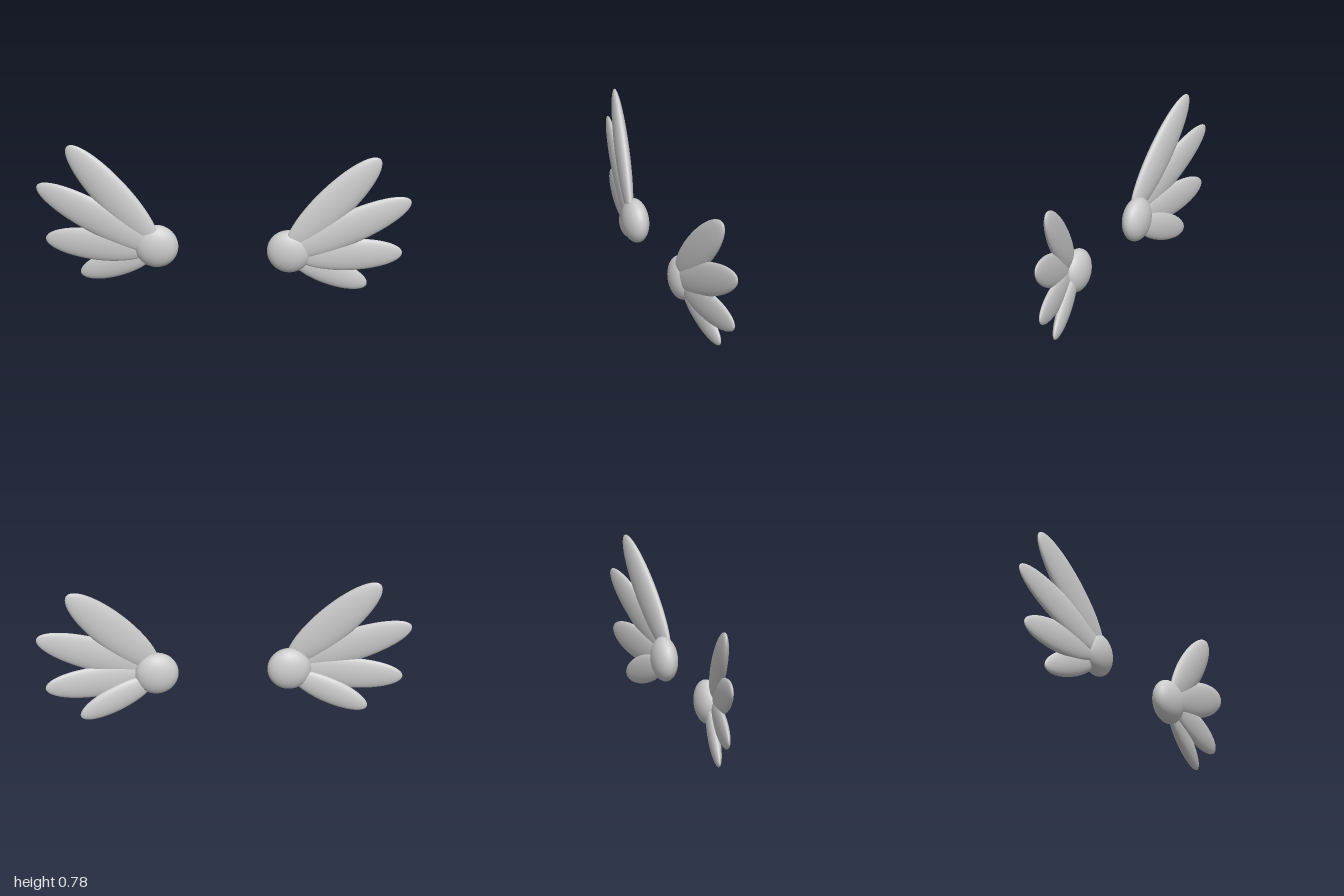
import * as THREE from 'three';

// Feathers, top to bottom: centre, half-sizes (length, width, thickness), lift angle in degrees
const FEATHERS = [
  { name: 'topFeather', at: [0.59, 0.52, -0.008], size: [0.354, 0.1, 0.036], lift: 46 },
  { name: 'upperFeather', at: [0.675, 0.381, -0.015], size: [0.355, 0.095, 0.029], lift: 24 },
  { name: 'lowerFeather', at: [0.67, 0.217, -0.024], size: [0.279, 0.091, 0.028], lift: 0 },
  { name: 'bottomFeather', at: [0.56, 0.114, -0.027], size: [0.218, 0.075, 0.03], lift: -24 },
];
const SWEEP = THREE.MathUtils.degToRad(10);

export function createModel() {
  const grey = new THREE.MeshStandardMaterial({ color: 0xcccccc });
  grey.name = 'lightGrey';

  // Unit ball with its poles along x, so each feather tip is a pole
  const ball = new THREE.SphereGeometry(1, 48, 32).rotateZ(-Math.PI / 2);

  const ellipsoid = (name, [x, y, z], size, side) => {
    const mesh = new THREE.Mesh(ball, grey);
    mesh.name = name;
    mesh.position.set(side * x, y, z);
    mesh.scale.set(...size);
    return mesh;
  };

  const model = new THREE.Group();
  model.name = 'wingPair';
  for (const side of [1, -1]) {
    const wing = new THREE.Group();
    wing.name = side > 0 ? 'leftWing' : 'rightWing';

    // Rounded joint at the wing root
    wing.add(ellipsoid('wingJoint', [0.351, 0.237, 0.008], [0.116, 0.12, 0.067], side));

    // Fanned feathers, swept backwards
    for (const f of FEATHERS) {
      const feather = ellipsoid(f.name, f.at, f.size, side);
      feather.rotation.set(0, side * SWEEP, side * THREE.MathUtils.degToRad(f.lift), 'YXZ');
      wing.add(feather);
    }
    model.add(wing);
  }
  return model;
}
